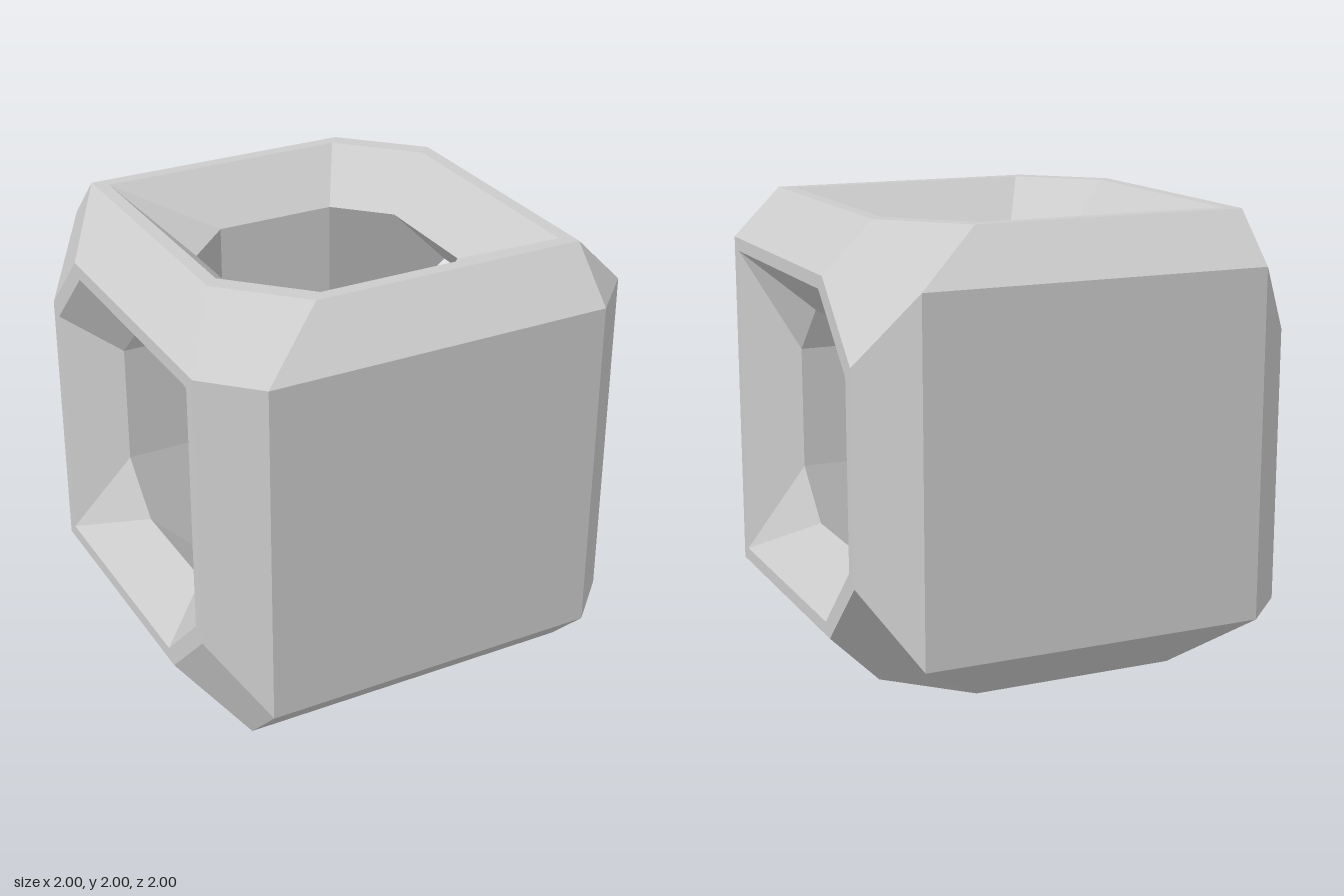
import * as THREE from 'three';

const R = 0.78, RC = 0.46;   // flat of each outer face, and its cut corner
const W = 0.72, WC = 0.41;   // window opening, and its cut corner
const T = 0.5, TC = 0.28;    // octagonal tunnel
const SIGNS = [1, -1];

// Which corners (signs of x, y, z) are cut on the side windows and on the top and bottom windows
const CUTS = [
  ['1,1,-1', '1,-1,-1', '-1,1,-1', '-1,-1,1'],
  ['1,1,-1', '-1,1,1', '1,-1,-1', '-1,-1,-1'],
];
const isCut = (axis, s) => CUTS[axis].includes(s.join());

// Collects flat polygons, each shaded with one normal and turned to face along `ref`
class Facets {
  constructor() { this.pos = []; this.nor = []; }

  add(points, ref) {
    const same = (a, b) => a.every((v, i) => Math.abs(v - b[i]) < 1e-6);
    let p = points.filter((q, i) => !same(q, points[(i + 1) % points.length]));
    if (p.length < 3) return;
    p = p.map((q) => new THREE.Vector3(...q));
    const n = new THREE.Vector3();
    p.forEach((q, i) => n.add(q.clone().cross(p[(i + 1) % p.length])));
    n.normalize();
    if (n.dot(new THREE.Vector3(...ref)) < 0) {
      n.negate();
      p = [p[0], ...p.slice(1).reverse()];
    }
    for (let i = 1; i < p.length - 1; i++) {
      for (const q of [p[0], p[i], p[i + 1]]) {
        this.pos.push(q.x, q.y, q.z);
        this.nor.push(n.x, n.y, n.z);
      }
    }
  }

  // Band of facets between two closed loops
  band(a, b, ref) {
    a.forEach((_, i) => {
      const j = (i + 1) % a.length;
      this.add([a[i], a[j], b[j], b[i]], ref);
    });
  }

  mesh(name) {
    const g = new THREE.BufferGeometry();
    g.setAttribute('position', new THREE.Float32BufferAttribute(this.pos, 3));
    g.setAttribute('normal', new THREE.Float32BufferAttribute(this.nor, 3));
    const m = new THREE.Mesh(g, new THREE.MeshStandardMaterial({ color: 0xcccccc }));
    m.name = name;
    return m;
  }
}

// Point on a window face: d along the face's axis (0 = x, 1 = y), u across it, z in depth
const onFace = (axis, d, u, z) => (axis === 0 ? [d, u, z] : [u, d, z]);

// The two rim points at a corner; they coincide where the corner is not cut
function cornerPair(axis, s, d, r, c, cut) {
  const k = cut ? c : r, side = s[axis], us = s[1 - axis];
  return [
    onFace(axis, side * d, us * r, s[2] * k),
    onFace(axis, side * d, us * k, s[2] * r),
  ];
}

// Eight-point loop round a window
function windowLoop(axis, side, d, r, c, allCut) {
  return [[1, 1], [-1, 1], [-1, -1], [1, -1]].flatMap(([us, zs]) => {
    const s = onFace(axis, side, us, zs);
    const pair = cornerPair(axis, s, d, r, c, allCut || isCut(axis, s));
    return us * zs > 0 ? pair : pair.reverse();
  });
}

// Closed front and back, edge chamfers and corner facets
function buildShell() {
  const f = new Facets();
  const face = (axis, s) => cornerPair(axis, s, 1, R, RC, isCut(axis, s));
  const flat = (s) => [s[0] * R, s[1] * R, s[2]];
  for (const a of SIGNS) {
    f.add([[R, R, a], [-R, R, a], [-R, -R, a], [R, -R, a]], [0, 0, a]);
    for (const b of SIGNS) {
      // chamfers along z, y and x
      const p = [a, b, 1], q = [a, b, -1];
      f.add([face(0, p)[0], face(1, p)[0], face(1, q)[0], face(0, q)[0]], [a, b, 0]);
      const t = [a, 1, b], u = [a, -1, b];
      f.add([face(0, t)[1], flat(t), flat(u), face(0, u)[1]], [a, 0, b]);
      const v = [1, a, b], w = [-1, a, b];
      f.add([face(1, v)[1], flat(v), flat(w), face(1, w)[1]], [0, a, b]);
      for (const c of SIGNS) {
        const s = [a, b, c], [xa, xb] = face(0, s), [yd, yc] = face(1, s);
        f.add([flat(s), xb, xa, yd, yc], s);
      }
    }
  }
  return f.mesh('chamferedShell');
}

// Narrow rim and sloping funnel of one window
function buildWindow(axis, side, name) {
  const g = new THREE.Group();
  g.name = name;
  const dir = onFace(axis, side, 0, 0);
  const opening = windowLoop(axis, side, 1, W, WC);
  const rim = new Facets(), funnel = new Facets();
  rim.band(windowLoop(axis, side, 1, R, RC), opening, dir);
  funnel.band(opening, windowLoop(axis, side, R, T, TC, true), dir);
  g.add(rim.mesh(name + 'Rim'), funnel.mesh(name + 'Funnel'));
  return g;
}

// Crossing octagonal tunnels inside
function buildTunnels() {
  const f = new Facets();
  for (const a of SIGNS) {
    // cross-shaped inner wall behind the closed face
    const z = a * T;
    const rect = (x0, x1, h) =>
      f.add([[x0, -h, z], [x1, -h, z], [x1, h, z], [x0, h, z]], [0, 0, -a]);
    rect(-TC, TC, R);
    rect(TC, R, TC);
    rect(-R, -TC, TC);
    for (const b of SIGNS) {
      // slope joining neighbouring windows
      f.add([
        [a * R, b * T, TC], [a * T, b * R, TC], [a * T, b * R, -TC], [a * R, b * T, -TC],
      ], [-a, -b, 0]);
      // inner corner
      for (const c of SIGNS) {
        const pts = [[TC, TC, T], [R, TC, T], [R, T, TC], [T, R, TC], [TC, R, T]];
        f.add(pts.map(([x, y, d]) => [a * x, b * y, c * d]), [-a, -b, -c]);
      }
    }
  }
  return f.mesh('crossingTunnels');
}

export function createModel() {
  const model = new THREE.Group();
  model.name = 'windowedCube';
  const body = new THREE.Group();
  body.name = 'body';
  body.position.y = 1;
  body.add(
    buildShell(),
    buildWindow(0, 1, 'leftWindow'),
    buildWindow(0, -1, 'rightWindow'),
    buildWindow(1, 1, 'topWindow'),
    buildWindow(1, -1, 'bottomWindow'),
    buildTunnels(),
  );
  model.add(body);
  return model;
}
